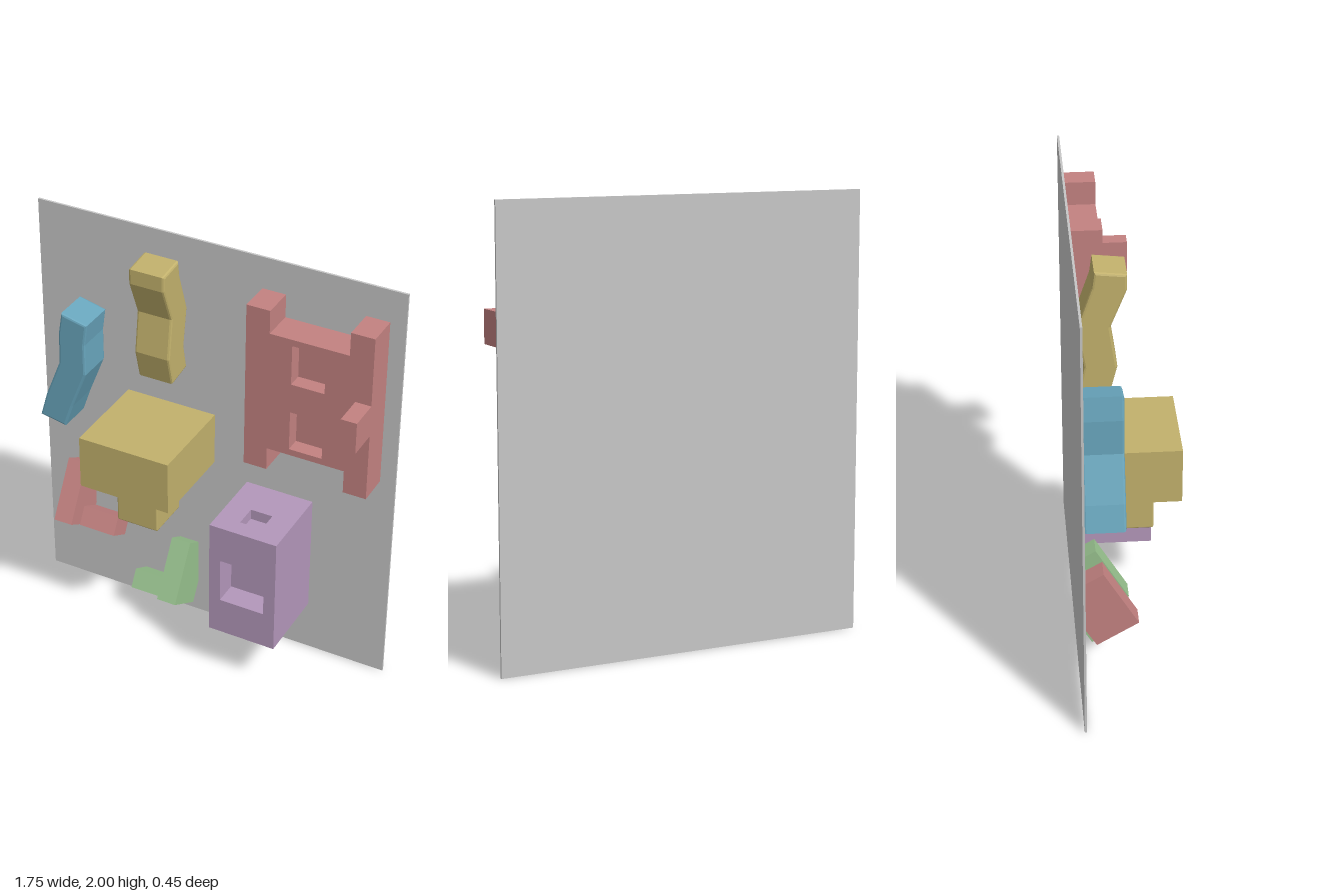
import * as THREE from 'three';
import { RoundedBoxGeometry } from 'three/addons/geometries/RoundedBoxGeometry.js';

const material = (name, color) => {
  const m = new THREE.MeshStandardMaterial({ color });
  m.name = name;
  return m;
};

const rect = (x0, x1, y0, y1) => [[x0, y0], [x1, y0], [x1, y1], [x0, y1]];
const vectors = (pts) => pts.map(([x, y]) => new THREE.Vector2(x, y));

// Extrude an outline from z0 to z1, with optional holes and an inset bevel.
function slab(outline, z0, z1, holes = [], bevel = 0) {
  const shape = new THREE.Shape(vectors(outline));
  holes.forEach((h) => shape.holes.push(new THREE.Path(vectors(h))));
  const geo = new THREE.ExtrudeGeometry(shape, {
    depth: z1 - z0 - 2 * bevel,
    bevelEnabled: bevel > 0,
    bevelSize: bevel, bevelThickness: bevel, bevelOffset: -bevel, bevelSegments: 2,
  });
  return geo.translate(0, 0, z0 + bevel);
}

// Extrude a (z, y) side profile across x0..x1.
const sideSlab = (profile, x0, x1, bevel = 0) =>
  slab(profile, -x1, -x0, [], bevel).rotateY(-Math.PI / 2);

const box = (x0, x1, y0, y1, z0, z1) =>
  new THREE.BoxGeometry(x1 - x0, y1 - y0, z1 - z0)
    .translate((x0 + x1) / 2, (y0 + y1) / 2, (z0 + z1) / 2);

export function createModel() {
  const root = new THREE.Group();
  root.name = 'climbingWall';
  const gray = material('wall gray', 0xc6c6c6);
  const yellow = material('mustard yellow', 0xc2b16c);
  const red = material('dusty red', 0xc38281);
  const purple = material('soft purple', 0xb397ba);
  const green = material('leaf green', 0x97c08d);
  const blue = material('sea blue', 0x69a6bd);

  const group = (name) => {
    const g = new THREE.Group();
    g.name = name;
    root.add(g);
    return g;
  };
  const add = (parent, name, geo, mat) => {
    const mesh = new THREE.Mesh(geo, mat);
    mesh.name = name;
    parent.add(mesh);
  };
  const wall = -0.215;

  // Thin backing panel
  add(root, 'backPanel', box(-0.875, 0.875, 0, 2, -0.225, wall), gray);

  // Wide block with a smaller block hanging below
  const hanger = group('hangingBlock');
  add(hanger, 'wideBlock', box(-0.44, 0, 0.885, 1.14, wall, 0.225), yellow);
  add(hanger, 'lowerBlock', new RoundedBoxGeometry(0.205, 0.235, 0.21, 2, 0.008)
    .translate(-0.218, 0.785, 0.01), yellow);

  // Bar bent towards and away from the wall
  add(root, 'yellowBentBar', sideSlab([
    [0, 1.91], [0, 1.84], [-0.068, 1.67], [-0.04, 1.48], [-0.075, 1.34],
    [-0.205, 1.36], [-0.18, 1.48], [-0.21, 1.66], [-0.145, 1.85], [-0.135, 1.925],
  ].reverse(), -0.305, -0.135, 0.01), yellow);

  // Bar bent sideways
  add(root, 'blueBentBar', slab([
    [-0.805, 0.995], [-0.675, 0.97], [-0.635, 1.085], [-0.56, 1.275], [-0.56, 1.43],
    [-0.545, 1.535], [-0.675, 1.565], [-0.692, 1.46], [-0.695, 1.305], [-0.772, 1.11],
  ], wall, -0.04, [], 0.01), blue);

  // Gate-like plate with two square pockets and a handle
  const gate = group('gate');
  const gateOutline = [
    [0.22, 1.05], [0.33, 1.05], [0.33, 1.16], [0.695, 1.16], [0.695, 1.05], [0.803, 1.05],
    [0.803, 1.85], [0.695, 1.85], [0.695, 1.74], [0.33, 1.74], [0.33, 1.85], [0.22, 1.85],
  ];
  const pockets = [1.19, 1.52].map((y) => rect(0.435, 0.59, y, y + 0.19));
  add(gate, 'gateBack', slab(gateOutline, wall, -0.135), red);
  add(gate, 'gateFront', slab(gateOutline, -0.135, -0.065, pockets), red);
  add(gate, 'gateHandle', box(0.73, 0.803, 1.375, 1.525, -0.065, 0.08), red);

  // Tall box with a front pocket and a top pocket
  const tall = group('pocketBox');
  add(tall, 'boxBack', box(0.165, 0.49, 0.25, 0.78, wall, 0.04), purple);
  add(tall, 'boxFront', slab(rect(0.165, 0.49, 0.25, 0.78), 0.04, 0.15,
    [rect(0.22, 0.435, 0.43, 0.65)]), purple);
  add(tall, 'boxTop', slab(rect(0.165, 0.49, -0.15, -wall), 0.78, 0.83,
    [rect(0.275, 0.38, -0.07, 0.035)]).rotateX(-Math.PI / 2), purple);

  // Two mirrored corner holds, tilted back into the wall
  const upright = [[0.02, 0.19], [-0.13, 0.45], [wall, 0.4], [wall, 0.172], [-0.16, 0.08]].reverse();
  const foot = [[-0.056, 0.14], [-0.102, 0.22], [-0.206, 0.16], [-0.16, 0.08]].reverse();
  const lift = (profile, dy) => profile.map(([z, y]) => [z, y + dy]);
  [
    ['greenCornerHold', green, 0, [-0.175, -0.08], [-0.355, -0.175]],
    ['redCornerHold', red, 0.272, [-0.72, -0.628], [-0.628, -0.445]],
  ].forEach(([name, mat, dy, ux, fx]) => {
    const hold = group(name);
    add(hold, 'upright', sideSlab(lift(upright, dy), ...ux), mat);
    add(hold, 'foot', sideSlab(lift(foot, dy), ...fx), mat);
  });

  return root;
}
